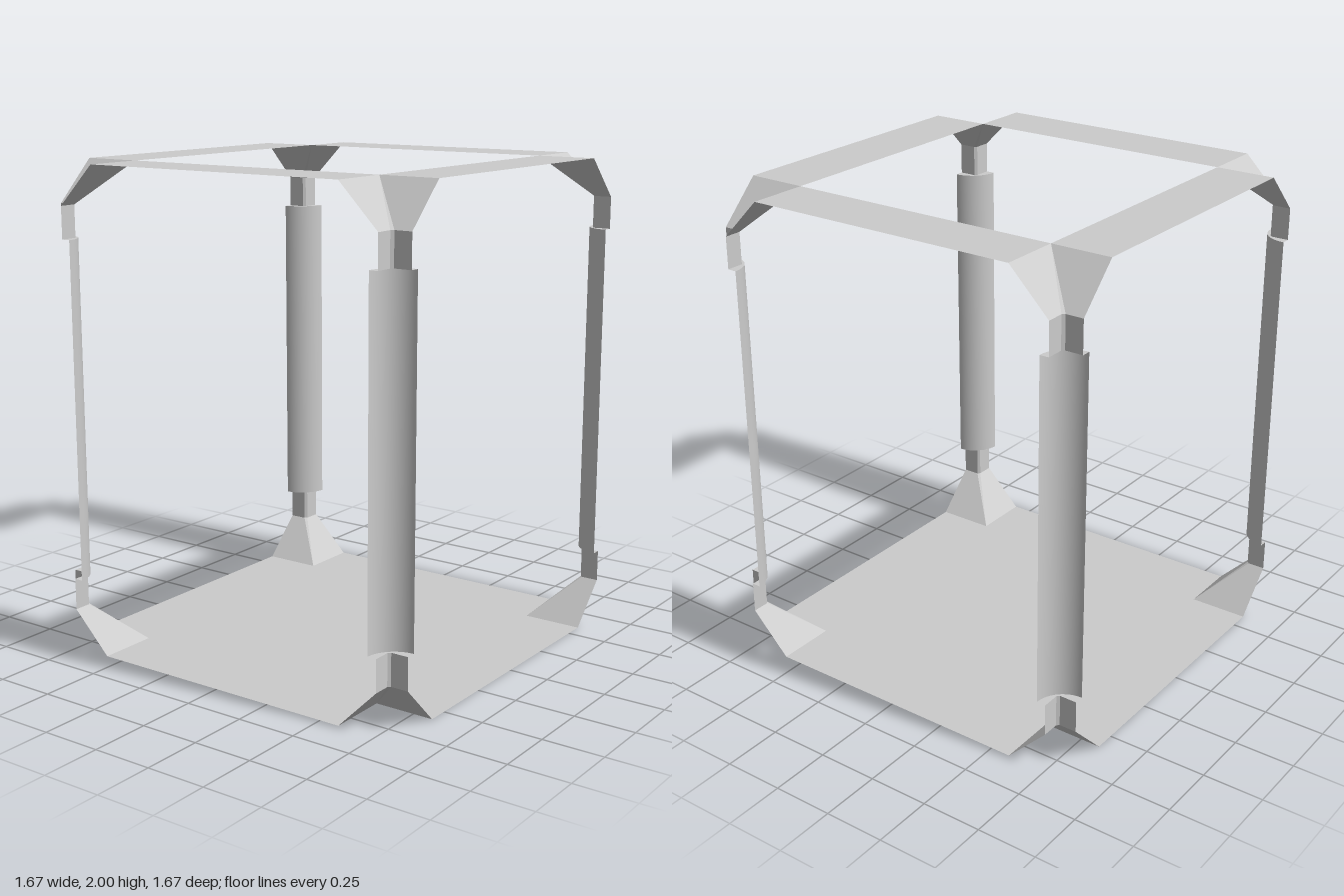
import * as THREE from 'three';

const OUT = 0.833;          // outer edge of the frame
const IN = 0.583;           // inner edge of the top strips and corner folds
const NOTCH = 0.75;         // depth of the corner notch
const CHAMFER = 0.76;       // where the notch's small chamfer begins
const RADIUS = 0.121;       // hollow of each post
const FOLD_Y = 1.832, POST_Y = 1.7;

// Notch cross-section and the folded edge above it, as [x, z]
const notch = [[OUT, NOTCH], [CHAMFER, NOTCH], [NOTCH, CHAMFER], [NOTCH, OUT]];
const fold = [[OUT, IN], [IN, IN], [IN, IN], [IN, OUT]];

// Flat-faced surface between two cross-sections
function ruled(lower, y0, upper, y1) {
  const pos = [];
  for (let i = 0; i < lower.length - 1; i++) {
    const p = ([x, z], y) => [x, y, z];
    const la = p(lower[i], y0), lb = p(lower[i + 1], y0);
    const ua = p(upper[i], y1), ub = p(upper[i + 1], y1);
    pos.push(...lb, ...la, ...ua);
    if (ua[0] !== ub[0] || ua[2] !== ub[2]) pos.push(...lb, ...ua, ...ub);
  }
  const g = new THREE.BufferGeometry();
  g.setAttribute('position', new THREE.Float32BufferAttribute(pos, 3));
  g.computeVertexNormals();
  return g;
}

export function createModel() {
  const grey = new THREE.MeshStandardMaterial({ color: 0xcccccc, side: THREE.DoubleSide });
  grey.name = 'light grey';
  const model = new THREE.Group();
  model.name = 'openFrame';

  const add = (parent, name, geometry) => {
    const mesh = new THREE.Mesh(geometry, grey);
    mesh.name = name;
    parent.add(mesh);
    return mesh;
  };

  // Step between the notch and the hollow post
  const stepShape = new THREE.Shape(notch.map(([x, z]) => new THREE.Vector2(x, z)));
  stepShape.absarc(OUT, OUT, RADIUS, Math.PI, Math.PI * 1.5, false);
  const stepGeo = new THREE.ShapeGeometry(stepShape, 12).rotateX(Math.PI / 2).translate(0, POST_Y, 0);

  const foldGeo = ruled(notch, FOLD_Y, fold, 2);
  const notchGeo = ruled(notch, POST_Y, notch, FOLD_Y);
  const postGeo = new THREE.CylinderGeometry(RADIUS, RADIUS, 2 * POST_Y - 2, 16, 1, true, Math.PI, Math.PI / 2)
    .translate(OUT, 1, OUT);
  const stripGeo = new THREE.PlaneGeometry(2 * IN, OUT - IN)
    .rotateX(-Math.PI / 2).translate(0, 2, (OUT + IN) / 2);

  for (let i = 0; i < 4; i++) {
    const side = new THREE.Group();
    side.name = 'cornerAndStrip' + (i + 1);
    side.rotation.y = i * Math.PI / 2;
    model.add(side);

    add(side, 'topStrip', stripGeo);
    add(side, 'hollowPost', postGeo);

    // Upper joint, and the same joint turned over for the lower end
    for (const end of ['upper', 'lower']) {
      const joint = new THREE.Group();
      joint.name = end + 'Joint';
      if (end === 'lower') {
        joint.rotation.x = Math.PI;
        joint.position.y = 2;
      }
      add(joint, 'cornerFold', foldGeo);
      add(joint, 'cornerNotch', notchGeo);
      add(joint, 'postStep', stepGeo);
      side.add(joint);
    }
  }

  // Cross-shaped floor with square cut-outs at the corners
  const cross = [];
  for (const [sx, sz] of [[1, 1], [-1, 1], [-1, -1], [1, -1]]) {
    const pts = [[OUT, IN], [IN, IN], [IN, OUT]].map(([x, z]) => new THREE.Vector2(sx * x, sz * z));
    cross.push(...(sx * sz > 0 ? pts : pts.reverse()));
  }
  add(model, 'floor', new THREE.ShapeGeometry(new THREE.Shape(cross)).rotateX(Math.PI / 2));

  return model;
}
